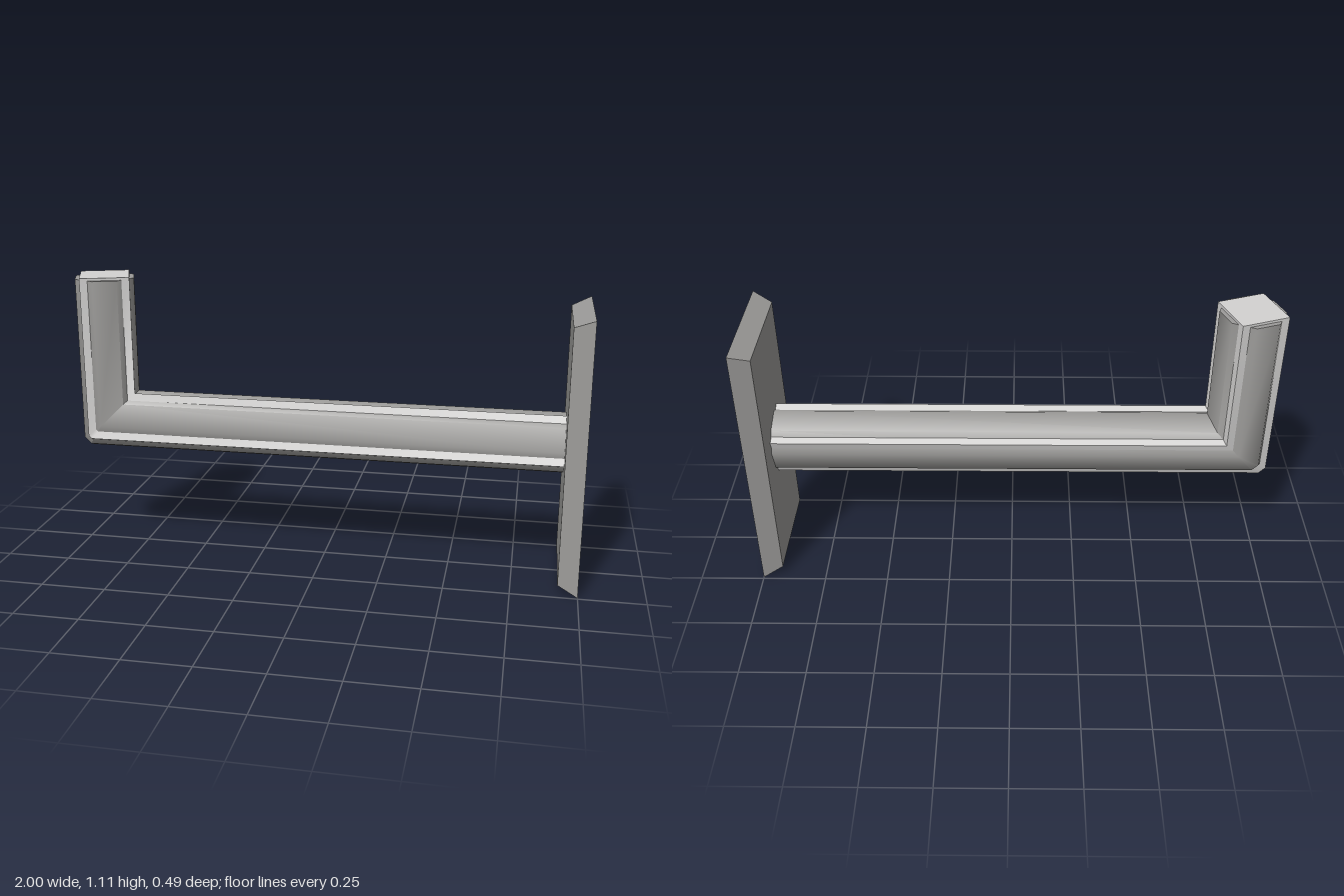
import * as THREE from 'three';
import { toCreasedNormals } from 'three/addons/utils/BufferGeometryUtils.js';

// Closed skin over rings of equal length, with flat end caps
function loft(rings, crease) {
  const n = rings[0].length, index = [];
  for (let i = 0; i < rings.length - 1; i++) {
    for (let j = 0; j < n; j++) {
      const a = i * n + j, b = i * n + (j + 1) % n;
      index.push(a, a + n, b, b, a + n, b + n);
    }
  }
  const end = (rings.length - 1) * n;
  for (let j = 1; j < n - 1; j++) {
    index.push(0, j, j + 1, end, end + j + 1, end + j);
  }
  const geo = new THREE.BufferGeometry();
  geo.setAttribute('position', new THREE.Float32BufferAttribute(rings.flat(2), 3));
  geo.setIndex(index);
  return toCreasedNormals(geo, crease);
}

// Regular polygon as [u, v] pairs
function polygon(sides, radius, phase) {
  return Array.from({ length: sides }, (_, i) => {
    const a = phase + (i / sides) * Math.PI * 2;
    return [Math.cos(a) * radius, Math.sin(a) * radius];
  });
}

// Sweep a profile along the arm and up the tip, with a chamfered outer elbow
function hookSweep(profile, top, chamfer, crease) {
  const cx = -0.878, cy = 0.525;
  const cut = (u) => Math.max(0, -u) * chamfer;
  return loft([
    profile.map(([u, v]) => [0.93, cy + u, v]),
    profile.map(([u, v]) => [cx + u + cut(u), cy + u, v]),
    profile.map(([u, v]) => [cx + u, cy + u + cut(u), v]),
    profile.map(([u, v]) => [cx + u, top, v]),
  ], crease);
}

function material(name, color) {
  const mat = new THREE.MeshStandardMaterial({ color });
  mat.name = name;
  return mat;
}

export function createModel() {
  const group = new THREE.Group();
  const grey = material('grey metal', 0x9d9c9a);
  const light = material('light metal', 0xd4d3d2);
  const add = (name, geo, mat) => {
    const mesh = new THREE.Mesh(geo, mat);
    mesh.name = name;
    group.add(mesh);
  };

  // Eight-sided grey rod; the corners of a light square core stand out along it
  const twist = 0.436;
  add('hookRod', hookSweep(polygon(8, 0.122, twist + Math.PI / 8), 1.1, 0.28, 0.9), grey);
  add('hookCore', hookSweep(polygon(4, 0.134, twist), 1.11, 0.2, 0.5), light);

  // Wall plate with bevelled rim, widest at the wall side
  const rect = (x, h, w) => [[1, 1], [-1, 1], [-1, -1], [1, -1]]
    .map(([sy, sz]) => [x, 0.522 + sy * h, sz * w]);
  add('wallPlate', loft([rect(1, 0.522, 0.243), rect(0.925, 0.49, 0.213)], 0.5), grey);

  return group;
}
